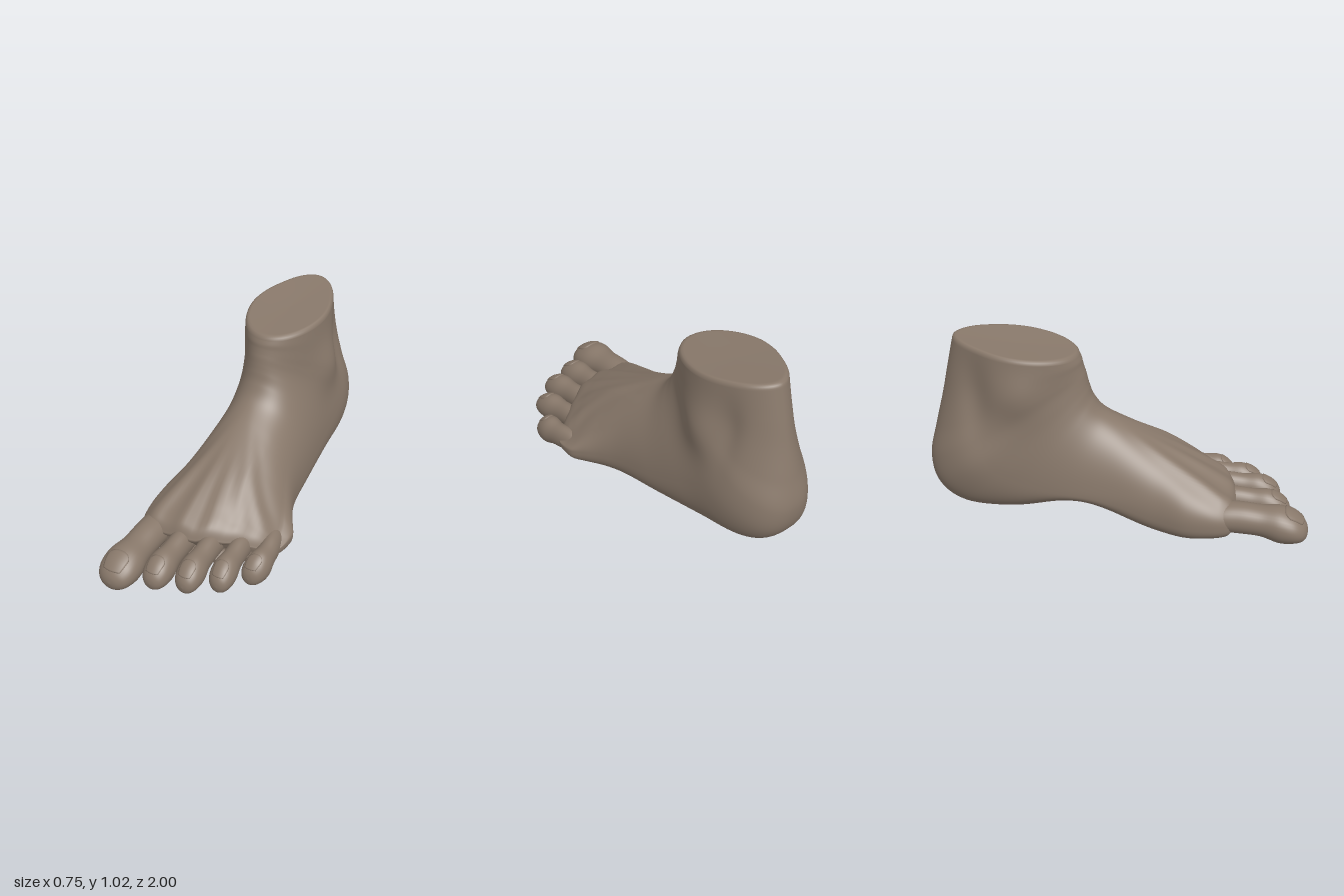
import * as THREE from 'three';

const { lerp, smoothstep, clamp } = THREE.MathUtils;
const bell = (...d) => Math.exp(-d.reduce((s, v) => s + v * v, 0));
const spow = (v, p) => Math.sign(v) * Math.pow(Math.abs(v), p);

// Smooth interpolation through rows of numbers, t from 0 to 1
function spline(rows, t) {
  const n = rows.length - 1;
  const i = Math.min(Math.floor(t * n), n - 1);
  const f = t * n - i;
  const row = (k) => rows[clamp(k, 0, n)];
  return rows[0].map((_, c) => {
    const [a, b, d, e] = [row(i - 1)[c], row(i)[c], row(i + 1)[c], row(i + 2)[c]];
    return b + 0.5 * f * (d - a + f * (2 * a - 5 * b + 4 * d - e + f * (3 * (b - d) + e - a)));
  });
}

// Skin over a list of rings of points
function skin(rings, closed = true) {
  const cols = rings[0].length;
  const index = [];
  for (let i = 0; i < rings.length - 1; i++) {
    for (let j = 0; j < (closed ? cols : cols - 1); j++) {
      const k = (j + 1) % cols;
      const a = i * cols + j, b = i * cols + k, c = a + cols, d = b + cols;
      index.push(a, b, c, b, d, c);
    }
  }
  const geo = new THREE.BufferGeometry().setFromPoints(rings.flat());
  geo.setIndex(index);
  geo.computeVertexNormals();
  return geo;
}

// Ring shrunk about its middle, used to close an end
function shrink(ring, scale, lift) {
  const mid = ring.reduce((s, p) => s.add(p), new THREE.Vector3()).divideScalar(ring.length);
  return ring.map((p) => p.clone().sub(mid).multiplyScalar(scale).add(mid).add(lift));
}

// Toes: base x, z; tip x, z; half width; bottom and top height; sideways bow
const TOES = [
  { x0: -0.262, z0: 0.46, x1: -0.263, z1: 0.998, r: 0.104, lo: 0.028, hi: 0.222, bow: 0 },
  { x0: -0.09, z0: 0.46, x1: -0.083, z1: 0.907, r: 0.074, lo: 0.04, hi: 0.212, bow: 0 },
  { x0: 0.05, z0: 0.42, x1: 0.072, z1: 0.854, r: 0.07, lo: 0.043, hi: 0.212, bow: 0 },
  { x0: 0.175, z0: 0.34, x1: 0.207, z1: 0.757, r: 0.066, lo: 0.033, hi: 0.197, bow: 0 },
  { x0: 0.265, z0: 0.24, x1: 0.3, z1: 0.607, r: 0.065, lo: 0.01, hi: 0.178, bow: 0.028 },
];

// Toe profile from tip to base: position, width, height, lift
const TOE_ROWS = [
  [1, 0, 0, -0.3], [0.985, 0.42, 0.36, -0.3], [0.94, 0.76, 0.64, -0.24],
  [0.85, 0.98, 0.87, -0.11], [0.72, 1, 1, 0], [0.55, 0.82, 0.85, 0.14],
  [0.35, 0.8, 0.86, 0.24], [0.15, 0.8, 0.8, 0.24], [0, 0.65, 0.55, 0.1],
];

function toePoint(toe, t, a, grow = 0) {
  const [s, w, h, lift] = spline(TOE_ROWS, t);
  const half = (toe.hi - toe.lo) / 2;
  return new THREE.Vector3(
    lerp(toe.x0, toe.x1, s) + toe.bow * Math.sin(Math.PI * s) + (toe.r * w + grow) * Math.sin(a),
    toe.lo + half * (1 + lift) + (half * h + grow) * Math.cos(a),
    lerp(toe.z0, toe.z1, s) + grow * 0.5
  );
}

function makeToe(toe) {
  const rings = [];
  for (let i = 0; i <= 48; i++) {
    const ring = [];
    for (let j = 0; j < 36; j++) ring.push(toePoint(toe, i / 48, (j / 36) * Math.PI * 2));
    rings.push(ring);
  }
  return skin(rings);
}

// Nail: a patch of the toe surface, raised, with its rim tucked in
function makeNail(toe) {
  const rings = [];
  const n = 16;
  for (let i = 0; i <= n; i++) {
    const ring = [];
    for (let j = 0; j <= n; j++) {
      const rim = i === 0 || j === 0 || i === n || j === n;
      const u = clamp((i - 1) / (n - 2), 0, 1), v = clamp((j - 1) / (n - 2), 0, 1) * 2 - 1;
      const t = lerp(0.22 + 0.04 * v * v, 0.46 - 0.05 * v ** 4, u);
      ring.push(toePoint(toe, t, v * 0.62, rim ? -0.005 : toe.r * 0.04));
    }
    rings.push(ring);
  }
  return skin(rings, false);
}

// Sections fanning from the toe roots round the heel up to the shin:
// top z, y; bottom z, y; x min, max; widest place; squareness of top, bottom
const BODY = [
  [0.625, 0.185, 0.61, 0.06, -0.31, 0.33, 0.45, 0.75, 0.75],
  [0.59, 0.24, 0.585, 0.025, -0.345, 0.36, 0.43, 0.77, 0.75],
  [0.49, 0.3, 0.5, 0.008, -0.37, 0.37, 0.4, 0.84, 0.75],
  [0.36, 0.37, 0.37, 0, -0.372, 0.362, 0.36, 0.95, 0.7],
  [0.2, 0.457, 0.21, 0, -0.338, 0.325, 0.32, 1, 0.7],
  [0.03, 0.555, 0, 0.006, -0.31, 0.25, 0.32, 1, 0.7],
  [-0.08, 0.625, -0.28, 0.016, -0.3, 0.213, 0.34, 1, 0.72],
  [-0.132, 0.7, -0.6, 0.05, -0.3, 0.188, 0.38, 1, 0.74],
  [-0.152, 0.76, -0.84, 0.088, -0.305, 0.173, 0.4, 1, 0.75],
  [-0.162, 0.8, -0.965, 0.19, -0.305, 0.163, 0.42, 1, 0.76],
  [-0.17, 0.835, -1, 0.34, -0.295, 0.155, 0.46, 1, 0.84],
  [-0.178, 0.86, -0.965, 0.51, -0.29, 0.148, 0.5, 1.01, 1],
  [-0.185, 0.885, -0.92, 0.69, -0.288, 0.142, 0.52, 1.02, 1.1],
  [-0.19, 0.908, -0.885, 0.85, -0.287, 0.138, 0.53, 1.02, 1.13],
  [-0.2, 0.93, -0.85, 1.005, -0.286, 0.135, 0.53, 1.02, 1.13],
];

// Ankle bones, hollows behind them, heel pads: side, y, z, height and depth of spread, rise
const BUMPS = [
  [-1, 0.77, -0.48, 0.13, 0.14, 0.028], [1, 0.67, -0.52, 0.14, 0.12, 0.03],
  [-1, 0.75, -0.71, 0.2, 0.08, -0.03], [1, 0.72, -0.69, 0.17, 0.07, -0.03],
  [-1, 0.4, -0.72, 0.16, 0.16, 0.02], [1, 0.36, -0.7, 0.16, 0.16, 0.015],
];

function bodyPoint(t, a) {
  const [tz, ty, bz, by, x0, x1, wide, pt, pb] = spline(BODY, t);
  const c = Math.cos(a), s = Math.sin(a);
  const p = c > 0 ? pt : pb;
  const up = spow(c, p), side = spow(s, p);
  const k = wide + up * (c > 0 ? 1 - wide : wide);
  const xc = -0.075;
  let x = xc + side * (side > 0 ? x1 - xc : xc - x0);
  let y = lerp(by, ty, k), z = lerp(bz, tz, k);
  for (const [dir, py, pz, tall, deep, rise] of BUMPS) {
    if (dir * side > 0) {
      x += dir * rise * Math.min(1, Math.abs(side) * 2) * bell((y - py) / tall, (z - pz) / deep);
    }
  }
  // Raised inner arch
  y += 0.13 * bell((z + 0.2) / 0.3) * smoothstep(-x, -0.05, 0.25) * (1 - smoothstep(y, 0, 0.3));
  if (c > 0) {
    // Instep falls away to the outer side
    y -= 0.28 * Math.max(0, x - 0.1) * smoothstep(z, -0.1, 0.2) * Math.min(1, c * 2);
    // Tendons running to the toes, ending in knuckles
    const f = clamp((z + 0.1) / 0.65, 0, 1);
    for (const toe of TOES) {
      const ridge = bell((x - lerp(-0.06, toe.x0, f)) / (0.03 + 0.018 * f));
      y += 0.022 * smoothstep(f, 0, 0.9) * smoothstep(c, 0, 0.5) * ridge;
    }
  }
  // Toe roots sweep back to the outer side
  z -= 0.32 * (x + Math.hypot(x, 0.06)) * smoothstep(z, 0.08, 0.62);
  return new THREE.Vector3(x, y, z);
}

function makeBody() {
  const rings = [];
  for (let i = 0; i <= 140; i++) {
    const ring = [];
    for (let j = 0; j < 120; j++) ring.push(bodyPoint(i / 140, (j / 120) * Math.PI * 2));
    rings.push(ring);
  }
  const first = rings[0], last = rings[140];
  const lift = (y, z) => new THREE.Vector3(0, y, z);
  rings.unshift(shrink(first, 0, lift(0, 0.01)), shrink(first, 0.85, lift(0, 0.01)));
  for (const [k, y] of [[0.985, 0.012], [0.95, 0.02], [0.9, 0.021], [0.5, 0.016], [0, 0.014]]) {
    rings.push(shrink(last, k, lift(y, 0)));
  }
  return skin(rings);
}

export function createModel() {
  const skinTone = new THREE.MeshStandardMaterial({ color: 0x88786a });
  skinTone.name = 'warm brown';
  const foot = new THREE.Group();
  foot.name = 'foot';
  const add = (name, geo) => {
    const mesh = new THREE.Mesh(geo, skinTone);
    mesh.name = name;
    foot.add(mesh);
  };
  add('footAndAnkle', makeBody());
  const names = ['bigToe', 'secondToe', 'thirdToe', 'fourthToe', 'littleToe'];
  TOES.forEach((toe, i) => {
    add(names[i], makeToe(toe));
    add(names[i] + 'Nail', makeNail(toe));
  });
  return foot;
}
